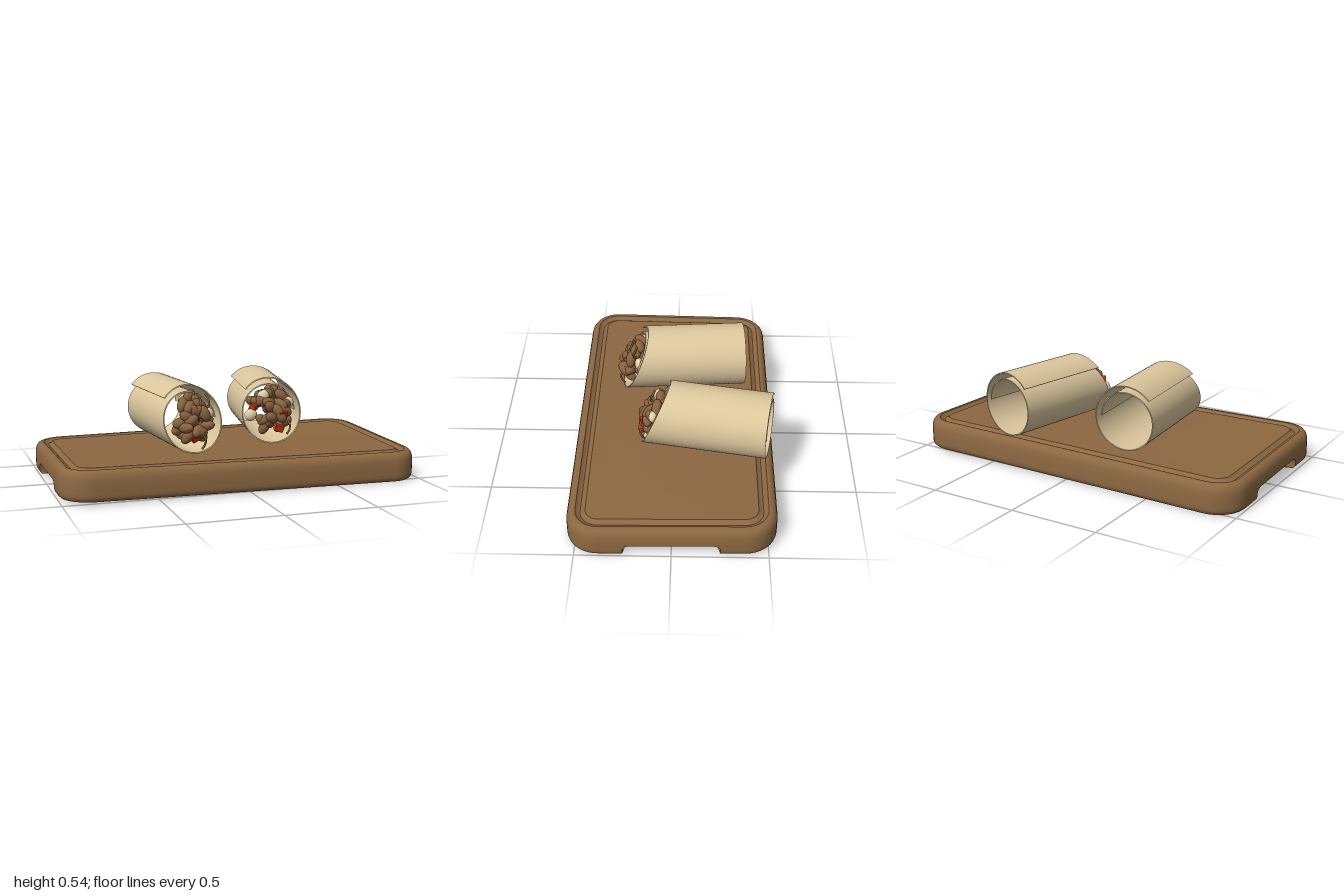
import * as THREE from 'three';
import { toCreasedNormals } from 'three/addons/utils/BufferGeometryUtils.js';

const mat = (name, color, side = THREE.FrontSide) => {
  const m = new THREE.MeshStandardMaterial({ color, side });
  m.name = name;
  return m;
};

// Skins a list of closed rings, each with the same number of points
function loft(rings, crease = 0.6) {
  const n = rings[0].length, pos = rings.flat(2), idx = [];
  for (let j = 0; j < rings.length - 1; j++) {
    for (let i = 0; i < n; i++) {
      const a = j * n + i, d = j * n + (i + 1) % n;
      idx.push(a, a + n, d + n, a, d + n, d);
    }
  }
  const g = new THREE.BufferGeometry();
  g.setAttribute('position', new THREE.Float32BufferAttribute(pos, 3));
  g.setIndex(idx);
  return toCreasedNormals(g, crease);
}

// Rounded rectangle with an optional hand notch in both short ends
function boardRing({ inset = 0, y, depth = 0, half = 0.2, scale = 1 }) {
  const X = 1 - inset, Z = 0.545 - inset, r = Math.max(0.17 - inset, 0.06), pts = [];
  const corner = (sx, sz, start) => {
    for (let k = 0; k <= 10; k++) {
      const a = start + (k / 10) * Math.PI / 2;
      pts.push([sx * (X - r) + r * Math.cos(a), sz * (Z - r) + r * Math.sin(a)]);
    }
  };
  const end = s => pts.push([s * X, -s * half], [s * (X - depth), -s * half],
    [s * (X - depth), s * half], [s * X, s * half]);
  end(1);
  corner(1, 1, 0);
  corner(-1, 1, Math.PI / 2);
  end(-1);
  corner(-1, -1, Math.PI);
  corner(1, -1, Math.PI * 1.5);
  // slight warp of the wood
  return pts.map(([x, z]) => [x * scale, y + 0.01 - 0.018 * x * z * scale * scale, z * scale]);
}

function makeBoard(material) {
  const depth = 0.07, core = 0.16;
  const rows = [
    ...[0.001, 0.35, 0.7, 1].map(scale => ({ inset: 0.2, y: 0, scale })),
    { inset: 0.015, y: 0, depth, half: 0.25 },
    { inset: 0.004, y: 0.01, depth, half: 0.25 },
    { y: 0.025, depth, half: 0.25 },
    { y: 0.042, depth, half: 0.25 },
    { y: 0.058, depth, half: 0.24 },
    { y: 0.065, depth, half: 0.215 },
    { y: 0.065, half: 0.215 },
    // rounded rim and juice groove
    ...[[0, 0.115], [0.007, 0.14], [0.02, 0.156], [0.036, 0.162], [0.046, 0.16], [0.055, 0.149],
      [0.072, 0.143], [0.088, 0.149], [0.098, core]].map(([inset, y]) => ({ inset, y })),
    ...[0.7, 0.35, 0.001].map(scale => ({ inset: 0.098, y: core, scale }))
  ];
  const board = new THREE.Mesh(loft(rows.map(boardRing)), material);
  board.name = 'cuttingBoard';
  return board;
}

// Slanted front cut of a wrap, in its own frame
const cutZ = y => 0.55 + (0.178 - y) * 0.42;

// Rolled flatbread: a thick spiral sheet, open at both ends
function makeFlatbread(material) {
  const steps = 80, thick = 0.006, rings = [];
  for (let k = 0; k <= steps; k++) {
    const sweep = (k / steps) * 500;
    const a = THREE.MathUtils.degToRad(140 - sweep);
    const r = 0.178 - 0.035 * THREE.MathUtils.smoothstep(sweep, 230, 400);
    const at = (rad, front) => {
      const y = rad * Math.sin(a);
      return [rad * Math.cos(a), y, front ? cutZ(y) : 0];
    };
    rings.push([at(r, true), at(r, false), at(r - thick, false), at(r - thick, true)]);
  }
  // close the two long edges
  const closed = ring => [ring[0], ring[1], ring[1], ring[0]];
  const mesh = new THREE.Mesh(loft([closed(rings[0]), ...rings, closed(rings[steps])]), material);
  mesh.name = 'flatbread';
  return mesh;
}

function makeWrap(name, x, z, turn, seed, bits, mats) {
  const wrap = new THREE.Group();
  wrap.name = name;
  wrap.position.set(x, 0.362, z);
  wrap.rotation.y = turn;
  wrap.add(makeFlatbread(mats.bread));
  const rand = () => (seed = (seed * 16807) % 2147483647) / 2147483647;
  const add = (part, geo, material, px, py, out) => {
    const m = new THREE.Mesh(geo, material);
    m.name = part;
    m.position.set(px, py, cutZ(py) + out);
    wrap.add(m);
    return m;
  };

  // Beans in two layers, domed at the front
  const beanGeo = new THREE.SphereGeometry(1, 18, 12);
  for (const [count, spread, out] of [[20, 0.1, 0.045], [14, 0.1, -0.01]]) {
    for (let k = 0; k < count; k++) {
      const f = Math.sqrt((k + 0.5) / count), a = k * 2.4 + seed % 7;
      const bean = add('bean', beanGeo, mats.bean, Math.cos(a) * f * spread + 0.005,
        Math.sin(a) * f * spread * 1.08 + 0.005, out - 0.05 * f * f + rand() * 0.02);
      bean.scale.set(0.042 + rand() * 0.008, 0.027 + rand() * 0.004, 0.028);
      bean.rotation.set(rand() - 0.5, (rand() - 0.5) * 2, (rand() - 0.5) * 2.4);
    }
  }

  // Vegetables: kind, x, y, distance out of the cut
  const box = new THREE.BoxGeometry(0.05, 0.036, 0.036);
  for (const [kind, px, py, out] of bits) {
    if (kind === 'pepper') {
      add('pepperPiece', box, mats.pepper, px, py, out).rotation.set(rand(), rand(), rand() - 0.5);
    } else if (kind === 'onion') {
      const m = add('onionPiece', beanGeo, mats.onion, px, py, out);
      m.scale.set(0.037, 0.034, 0.024);
      m.rotation.z = rand();
    } else {
      // curled strand hanging over the filling
      const s = Math.sign(py);
      const curve = new THREE.CatmullRomCurve3([[0, 0, -0.02], [0.012, s * 0.02, 0.012],
        [0.012, s * 0.055, 0.002], [0, s * 0.08, -0.01]].map(p => new THREE.Vector3(...p)));
      add('strand', new THREE.TubeGeometry(curve, 14, 0.006, 6), mats.strand, px, py, out);
    }
  }
  return wrap;
}

export function createModel() {
  const model = new THREE.Group();
  model.name = 'wrapsOnBoard';
  const mats = {
    bread: mat('flatbread', 0xdcc79d, THREE.DoubleSide),
    bean: mat('bean brown', 0x86613f),
    pepper: mat('pepper red', 0xc0350f),
    onion: mat('onion cream', 0xe2d3ae),
    strand: mat('strand brown', 0x8b6538)
  };
  model.add(makeBoard(mat('wood', 0x8d6842)));
  model.add(makeWrap('leftOpenWrap', -0.295, -0.39, 0.08, 11, [
    ['pepper', 0, -0.09, 0.025], ['onion', -0.02, 0.1, -0.005], ['onion', 0.1, 0.02, -0.005],
    ['strand', 0.035, -0.075, 0.05], ['strand', 0.085, 0.05, 0.025], ['strand', 0.03, 0.06, 0.045]
  ], mats));
  model.add(makeWrap('rightOpenWrap', 0.376, -0.517, -0.185, 37, [
    ['onion', -0.115, -0.02, 0.02], ['pepper', -0.095, 0.025, 0.025], ['onion', -0.04, 0.08, 0.03],
    ['pepper', 0.06, -0.015, 0.05], ['pepper', 0.04, -0.09, 0.03], ['onion', 0.1, 0.04, 0.01],
    ['strand', 0.09, -0.05, 0.035], ['strand', 0, 0.06, 0.04]
  ], mats));
  return model;
}
